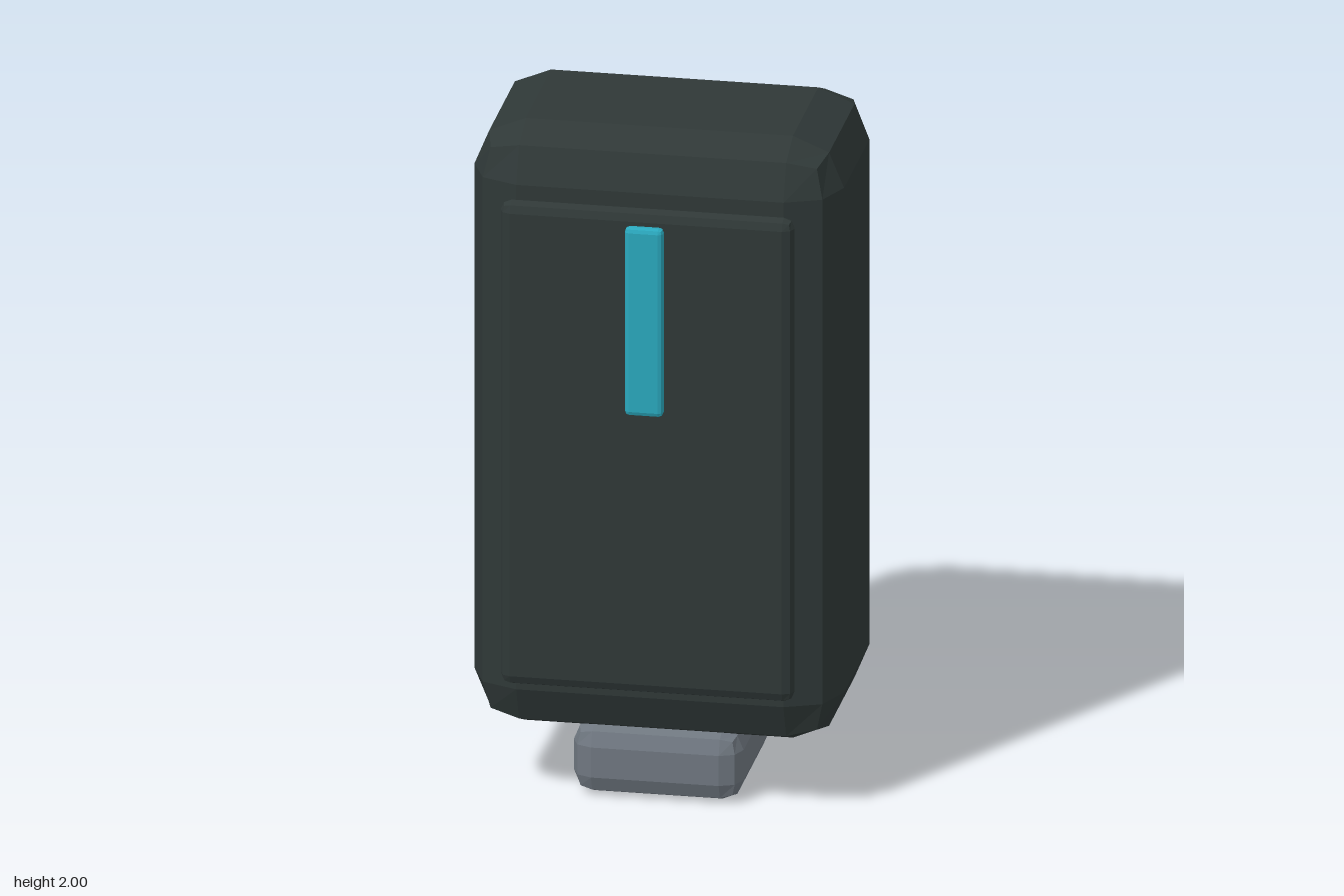
import * as THREE from 'three';
import { RoundedBoxGeometry } from 'three/addons/geometries/RoundedBoxGeometry.js';

function material(name, color) {
  const m = new THREE.MeshStandardMaterial({ color, flatShading: true });
  m.name = name;
  return m;
}

// Box with two-facet bevelled edges, given by its centre and size
function bevelBox(name, mat, size, centre, radius) {
  const mesh = new THREE.Mesh(new RoundedBoxGeometry(...size, 1, radius), mat);
  mesh.name = name;
  mesh.position.set(...centre);
  return mesh;
}

export function createModel() {
  const charcoal = material('charcoal', 0x2f3837);
  const grey = material('grey', 0x6f7780);
  const cyan = material('cyan', 0x2aa8bd);

  const group = new THREE.Group();
  group.name = 'device';
  group.add(
    // Main housing
    bevelBox('housing', charcoal, [1.054, 1.806, 0.679], [0, 1.097, -0.052], 0.146),
    // Raised panel against the front of the housing
    bevelBox('frontPanel', charcoal, [0.838, 1.45, 0.063], [0, 1.096, 0.318], 0.031),
    // Narrow light bar on the panel
    bevelBox('lightBar', cyan, [0.11, 0.564, 0.038], [0, 1.502, 0.369], 0.014),
    // Connector foot below the housing
    bevelBox('foot', grey, [0.484, 0.21, 0.52], [0, 0.105, -0.05], 0.06),
  );
  return group;
}
